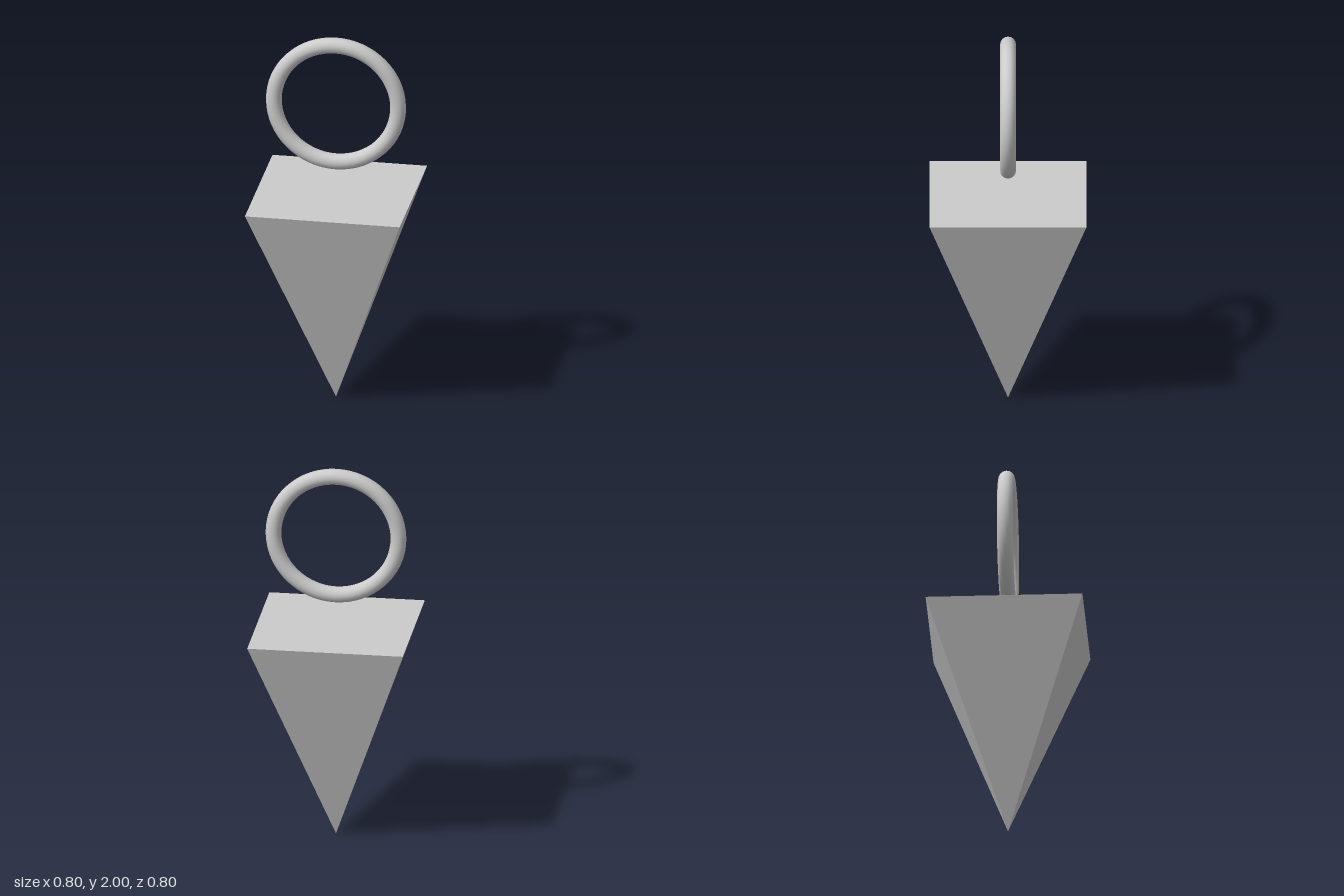
import * as THREE from 'three';

export function createModel() {
  const group = new THREE.Group();
  const halfWidth = 0.402;
  const height = 1.147;
  const tube = 0.041;
  const ringRadius = 0.323;

  // Square pyramid, point down
  const pyramidGeometry = new THREE.ConeGeometry(halfWidth * Math.SQRT2, height, 4)
    .rotateY(Math.PI / 4)
    .rotateX(Math.PI);
  const pyramid = new THREE.Mesh(
    pyramidGeometry,
    new THREE.MeshStandardMaterial({ color: 0xcccccc, flatShading: true })
  );
  pyramid.name = 'invertedPyramid';
  pyramid.position.y = height / 2;
  group.add(pyramid);

  // Upright ring floating above the pyramid
  const ring = new THREE.Mesh(
    new THREE.TorusGeometry(ringRadius, tube, 16, 64),
    new THREE.MeshStandardMaterial({ color: 0xcccccc })
  );
  ring.name = 'ring';
  ring.position.y = 2 - ringRadius - tube;
  group.add(ring);

  return group;
}
